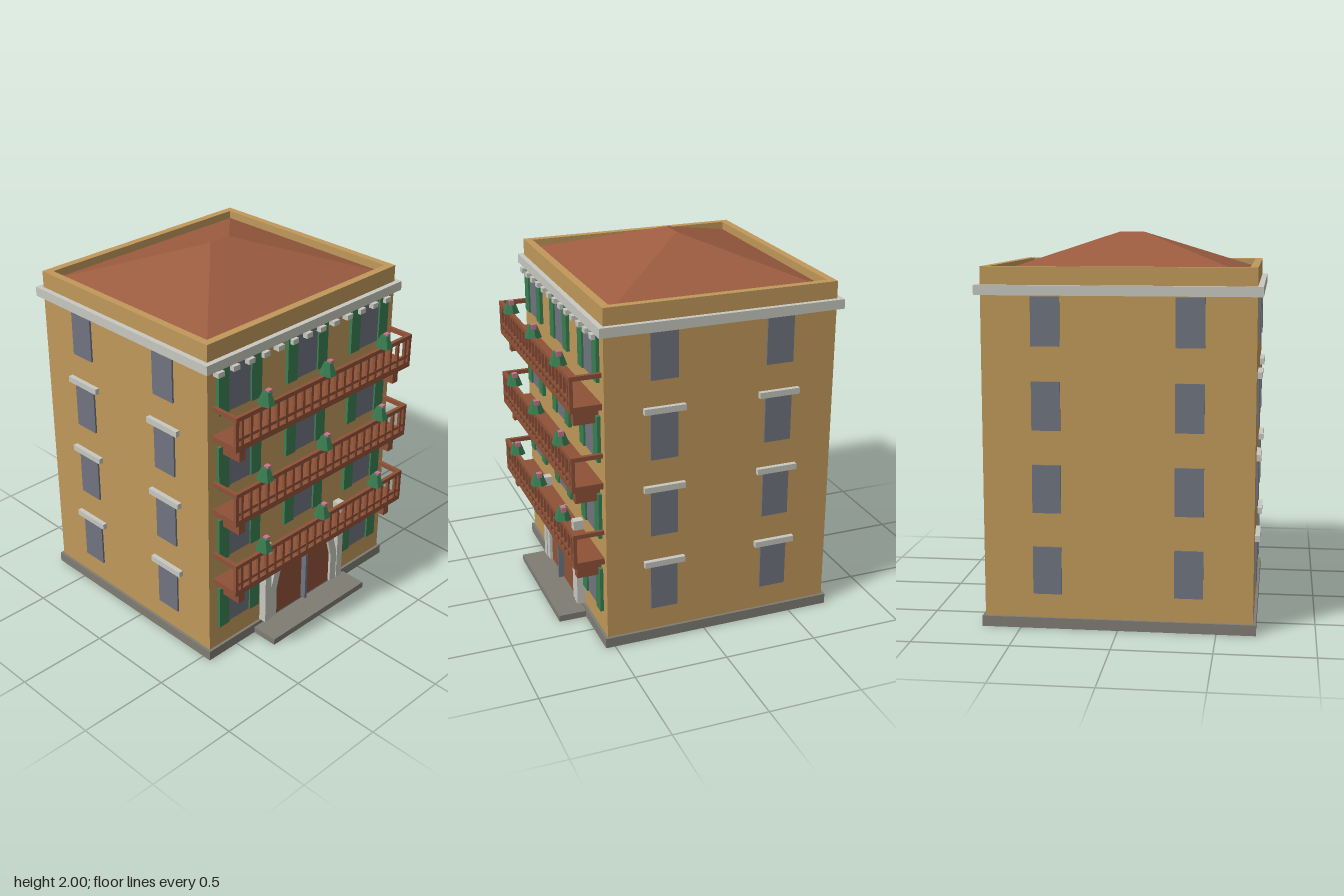
import * as THREE from 'three';

const mat = (name, color) => {
  const m = new THREE.MeshStandardMaterial({ color });
  m.name = name;
  return m;
};

export function createModel() {
  const ochre = mat('ochre plaster', 0xc0985a);
  const tile = mat('roof tile', 0x9c5c40);
  const wood = mat('red brown wood', 0x8f5238);
  const trim = mat('pale stone trim', 0xc8c8c0);
  const slate = mat('slate glass', 0x70747f);
  const green = mat('shutter green', 0x3a7f52);
  const leaf = mat('plant green', 0x37794f);
  const stone = mat('grey stone', 0x7f7c73);
  const pink = mat('flower pink', 0xc8748a);

  const model = new THREE.Group();
  model.name = 'apartmentHouse';
  const add = (parent, name, geometry, material) => {
    const mesh = new THREE.Mesh(geometry, material);
    mesh.name = name;
    parent.add(mesh);
    return mesh;
  };
  // Box given by its limits on each axis
  const box = (parent, name, material, x0, x1, y0, y1, z0, z1) => {
    const mesh = add(parent, name, new THREE.BoxGeometry(x1 - x0, y1 - y0, z1 - z0), material);
    mesh.position.set((x0 + x1) / 2, (y0 + y1) / 2, (z0 + z1) / 2);
    return mesh;
  };
  const group = (name) => {
    const g = new THREE.Group();
    g.name = name;
    model.add(g);
    return g;
  };

  const W = 0.685, F = 0.535, B = -0.705, CZ = -0.085, STOREY = 0.4225;

  // Walls, plinth, step and cornice
  box(model, 'walls', ochre, -W, W, 0.055, 1.76, B, F);
  box(model, 'plinth', stone, -0.7, 0.7, 0, 0.055, -0.72, 0.55);
  box(model, 'doorStep', stone, -0.365, 0.365, 0, 0.035, 0.5, 0.7);
  box(model, 'cornice', trim, -0.713, 0.713, 1.7, 1.75, -0.735, 0.563);
  const dentils = group('dentils');
  for (let i = 0; i < 13; i++) {
    const x = -0.625 + i * 0.102;
    box(dentils, 'dentil', trim, x - 0.021, x + 0.021, 1.665, 1.692, F, 0.572);
  }

  // Parapet ring
  const ring = new THREE.Shape([[-W, -0.62], [W, -0.62], [W, 0.62], [-W, 0.62]].map(p => new THREE.Vector2(...p)));
  ring.holes.push(new THREE.Path([[-0.645, -0.578], [-0.645, 0.578], [0.645, 0.578], [0.645, -0.578]].map(p => new THREE.Vector2(...p))));
  const parapet = add(model, 'parapet', new THREE.ExtrudeGeometry(ring, { depth: 0.1, bevelEnabled: false }), ochre);
  parapet.rotation.x = -Math.PI / 2;
  parapet.position.set(0, 1.74, CZ);

  // Hipped roof: a box whose top is pinched to a short ridge
  const roofGeo = new THREE.BoxGeometry(1.29, 0.203, 1.156).toNonIndexed();
  const rp = roofGeo.attributes.position;
  for (let i = 0; i < rp.count; i++) {
    if (rp.getY(i) > 0) rp.setXYZ(i, Math.sign(rp.getX(i)) * 0.067, rp.getY(i), 0);
  }
  roofGeo.computeVertexNormals();
  add(model, 'roof', roofGeo, tile).position.set(0, 1.8985, CZ);

  // Windows on every side, floor by floor
  const windows = group('windows');
  for (let floor = 0; floor < 4; floor++) {
    const y0 = 0.18 + floor * STOREY, y1 = y0 + 0.247;
    const l0 = y1 + 0.003, l1 = l0 + 0.032;
    for (const x of [-0.48, 0, 0.48]) {
      if (x === 0 && floor === 0) continue;
      box(windows, 'frontPane', slate, x - 0.08, x + 0.08, y0, y1, F - 0.01, F + 0.008);
      for (const s of [-1, 1]) {
        const c = x + s * 0.112;
        box(windows, 'shutter', green, c - 0.035, c + 0.035, y0, y1, F - 0.01, F + 0.018);
      }
      if (x !== 0) box(windows, 'frontLintel', trim, x - 0.11, x + 0.11, l0, l1, F - 0.01, F + 0.025);
    }
    for (const s of [-1, 1]) {
      const bx = s * 0.36;
      box(windows, 'backPane', slate, bx - 0.073, bx + 0.073, y0, y1, B - 0.01, B + 0.01);
      for (const z of [CZ - 0.31, CZ + 0.31]) {
        const a = s * (W - 0.01);
        const span = (b) => [Math.min(a, b), Math.max(a, b)];
        box(windows, 'sidePane', slate, ...span(s * (W + 0.01)), y0, y1, z - 0.073, z + 0.073);
        box(windows, 'sideLintel', trim, ...span(s * (W + 0.025)), l0, l1, z - 0.11, z + 0.11);
      }
    }
  }

  // Arched entrance with faceted surround and pilasters
  const entrance = group('entrance');
  const archPoints = (r) => {
    const pts = [new THREE.Vector2(r, 0.055)];
    for (let i = 0; i <= 6; i++) {
      const a = i * Math.PI / 6;
      pts.push(new THREE.Vector2(r * Math.cos(a), 0.235 + r * Math.sin(a)));
    }
    pts.push(new THREE.Vector2(-r, 0.055));
    return pts;
  };
  const extrude = (shape, depth) => new THREE.ExtrudeGeometry(shape, { depth, bevelEnabled: false });
  add(entrance, 'door', extrude(new THREE.Shape(archPoints(0.222)), 0.035), wood).position.z = F - 0.01;
  const surround = new THREE.Shape([...archPoints(0.268), ...archPoints(0.22).reverse()]);
  add(entrance, 'doorSurround', extrude(surround, 0.05), trim).position.z = F - 0.01;
  box(entrance, 'doorBar', slate, -0.008, 0.008, 0.06, 0.355, F, 0.592);
  for (const s of [-1, 1]) {
    const x = s * 0.29;
    box(entrance, 'pilaster', trim, x - 0.022, x + 0.022, 0.055, 0.505, F - 0.01, 0.58);
    box(entrance, 'pilasterCap', trim, x - 0.022, x + 0.022, 0.5, 0.555, F - 0.01, 0.59);
  }

  // Balconies with railings, brackets and potted plants
  for (let level = 0; level < 3; level++) {
    const g = group('balcony');
    g.position.y = 0.47 + level * STOREY;
    box(g, 'slab', wood, -0.655, 0.655, 0, 0.032, F, 0.697);
    box(g, 'topRail', wood, -0.655, 0.655, 0.167, 0.19, 0.68, 0.7);
    box(g, 'lowerRail', wood, -0.655, 0.655, 0.058, 0.075, 0.683, 0.697);
    for (let i = 0; i < 21; i++) {
      const x = -0.61 + i * 0.061;
      box(g, 'baluster', wood, x - 0.008, x + 0.008, 0.03, 0.17, 0.682, 0.698);
    }
    for (const s of [-1, 1]) {
      box(g, 'sideRail', wood, s * 0.645 - 0.01, s * 0.645 + 0.01, 0.167, 0.19, F, 0.69);
      box(g, 'cornerPost', wood, s * 0.645 - 0.01, s * 0.645 + 0.01, 0.03, 0.17, 0.68, 0.698);
      box(g, 'bracket', wood, s * 0.58 - 0.021, s * 0.58 + 0.021, -0.085, -0.015, F, 0.665);
    }
    for (const x of [-0.44, 0, 0.44]) {
      const plantGeo = new THREE.CylinderGeometry(0.022, 0.047, 0.065, 6, 1, false, Math.PI / 2).toNonIndexed();
      plantGeo.computeVertexNormals();
      add(g, 'plant', plantGeo, leaf).position.set(x, 0.217, 0.686);
      box(g, 'flower', pink, x + 0.002, x + 0.028, 0.232, 0.258, 0.674, 0.7);
    }
  }
  return model;
}
